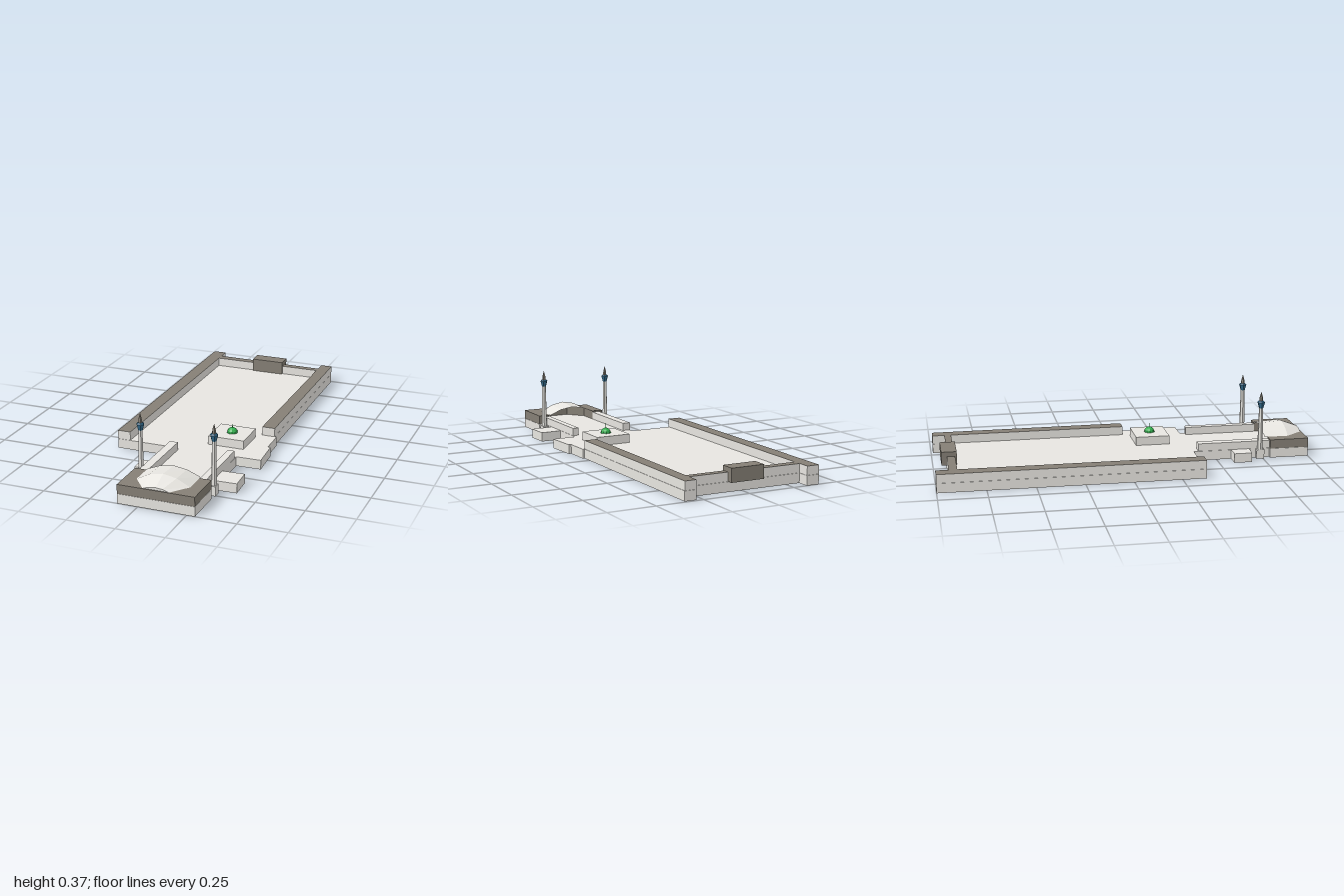
import * as THREE from 'three';

const mat = (name, color, side = THREE.FrontSide) => {
  const m = new THREE.MeshStandardMaterial({ color, side });
  m.name = name;
  return m;
};

export function createModel() {
  const root = new THREE.Group();
  root.name = 'mosqueComplex';
  const stone = mat('lightStone', 0xe8e6e1, THREE.DoubleSide);
  const roof = mat('darkRoof', 0x857f75);
  const blue = mat('balconyBlue', 0x336c8e);
  const green = mat('domeGreen', 0x32b04e);

  const add = (name, geo, material, parent = root) => {
    const m = new THREE.Mesh(geo, material);
    m.name = name;
    parent.add(m);
    return m;
  };
  const fromTriangles = (tri) => {
    const geo = new THREE.BufferGeometry();
    geo.setAttribute('position', new THREE.Float32BufferAttribute(tri, 3));
    geo.computeVertexNormals();
    return geo;
  };

  // Plan outlines are lists of [x, z] points
  const plan = (pts) => new THREE.Shape(pts.map(([x, z]) => new THREE.Vector2(x, -z)));
  const rect = (x0, x1, z0, z1) => [[x0, z0], [x1, z0], [x1, z1], [x0, z1]];
  const slab = (name, pts, y0, y1, cap, side = cap) => {
    const geo = new THREE.ExtrudeGeometry(plan(pts), { depth: y1 - y0, bevelEnabled: false });
    geo.rotateX(-Math.PI / 2).translate(0, y0, 0);
    return add(name, geo, [cap, side]);
  };

  const floorY = 0.05, wallBase = 0.051, wallY = 0.097;

  // Raised floor with a stepped outline, hollow underneath
  const outline = [
    [-0.394, -1], [-0.325, -1], [-0.325, -0.935], [0.284, -0.925], [0.284, -0.99], [0.346, -0.99],
    [0.356, 0.055], [0.366, 0.055], [0.368, 0.195], [0.382, 0.195], [0.393, 0.373], [0.262, 0.375],
    [0.262, 0.565], [0.377, 0.56], [0.382, 0.685], [0.262, 0.688], [0.262, 0.79], [0.292, 0.79],
    [0.292, 1], [-0.107, 1], [-0.107, 0.79], [-0.09, 0.79], [-0.09, 0.68], [-0.164, 0.675],
    [-0.164, 0.58], [-0.09, 0.58], [-0.09, 0.375], [-0.394, 0.375],
  ];
  add('floor', new THREE.ShapeGeometry(plan(outline)).rotateX(-Math.PI / 2)
    .translate(0, floorY, 0), stone);
  const skirt = [];
  outline.forEach(([px, pz], i) => {
    const [qx, qz] = outline[(i + 1) % outline.length];
    skirt.push(px, 0, pz, px, floorY, pz, qx, floorY, qz);
    skirt.push(px, 0, pz, qx, floorY, qz, qx, 0, qz);
  });
  add('floorSkirt', fromTriangles(skirt), stone);

  // Courtyard walls with dark tops
  slab('rightWall', rect(-0.394, -0.325, -1, 0.375), wallBase, wallY, roof, stone);
  slab('leftWall', [[0.284, -0.99], [0.346, -0.99], [0.356, 0.055], [0.287, 0.055]],
    wallBase, wallY, roof, stone);
  slab('backWall', [[-0.325, -0.935], [0.284, -0.925], [0.284, -0.89], [-0.325, -0.89]],
    wallBase, wallY, roof, stone);
  slab('backGate', rect(-0.105, 0.076, -0.96, -0.88), wallBase, 0.122, roof);

  // Walls beside the passage
  slab('passageWallRight', rect(-0.09, -0.046, 0.4, 0.79), wallBase, 0.092, stone);
  slab('passageWallLeft', rect(0.227, 0.262, 0.4, 0.79), wallBase, 0.092, stone);

  // Front hall, open towards the passage
  slab('frontHall', [
    [-0.107, 0.79], [-0.046, 0.79], [-0.046, 0.905], [0.024, 0.994], [0.16, 0.994],
    [0.23, 0.905], [0.23, 0.79], [0.292, 0.79], [0.292, 1], [-0.107, 1],
  ], wallBase, 0.099, roof);

  // Faceted vault over the hall: arcs lofted from back to front
  const arc = [[-1, 0], [-0.5, 0.73], [0, 1], [0.5, 0.73], [1, 0]];
  const sections = [[0.775, 0.138, 0.137], [0.905, 0.138, 0.147], [0.995, 0.068, 0.113]]
    .map(([z, half, top]) => arc.map(([u, v]) => [0.092 + u * half, 0.099 + v * (top - 0.099), z]));
  const tri = [];
  for (let s = 0; s < 2; s++) {
    for (let i = 0; i < 4; i++) {
      const a = sections[s][i], b = sections[s][i + 1];
      const c = sections[s + 1][i], d = sections[s + 1][i + 1];
      tri.push(...a, ...c, ...b, ...b, ...c, ...d);
    }
  }
  // Closed front end
  const front = sections[2];
  for (let i = 1; i < 4; i++) tri.push(...front[0], ...front[i + 1], ...front[i]);
  add('hallVault', fromTriangles(tri), stone);

  // Shrine platform with small green dome and finial
  slab('shrinePlatform', rect(0.07, 0.264, 0.092, 0.275), wallBase, wallY, stone);
  const flat = (geo) => {
    const g = geo.toNonIndexed();
    g.computeVertexNormals();
    return g;
  };
  const shrine = new THREE.Group();
  shrine.name = 'shrine';
  shrine.position.set(0.168, wallY, 0.183);
  root.add(shrine);
  add('shrineDome', flat(new THREE.SphereGeometry(0.028, 10, 4, 0, Math.PI * 2, 0, Math.PI / 2)),
    green, shrine);
  add('shrineFinial', new THREE.ConeGeometry(0.003, 0.028, 6).translate(0, 0.039, 0), green, shrine);

  // Hexagonal minarets
  const ring = (r0, r1, y0, y1) =>
    flat(new THREE.CylinderGeometry(r1, r0, y1 - y0, 6).rotateY(Math.PI / 6)
      .translate(0, (y0 + y1) / 2, 0));
  for (const [side, x] of [['Right', -0.1], ['Left', 0.284]]) {
    const tower = new THREE.Group();
    tower.name = 'minaret' + side;
    tower.position.set(x, 0, 0.735);
    root.add(tower);
    add('pedestal', new THREE.BoxGeometry(0.03, 0.05, 0.042).translate(0, 0.025, 0), stone, tower);
    add('shaft', ring(0.015, 0.011, 0.05, 0.28), stone, tower);
    add('balcony', ring(0.012, 0.021, 0.278, 0.31), blue, tower);
    add('balconyRim', ring(0.021, 0.013, 0.31, 0.317), blue, tower);
    add('spireBase', ring(0.01, 0.009, 0.316, 0.335), roof, tower);
    add('spire', ring(0.009, 0.0005, 0.335, 0.365), roof, tower);
  }

  return root;
}
